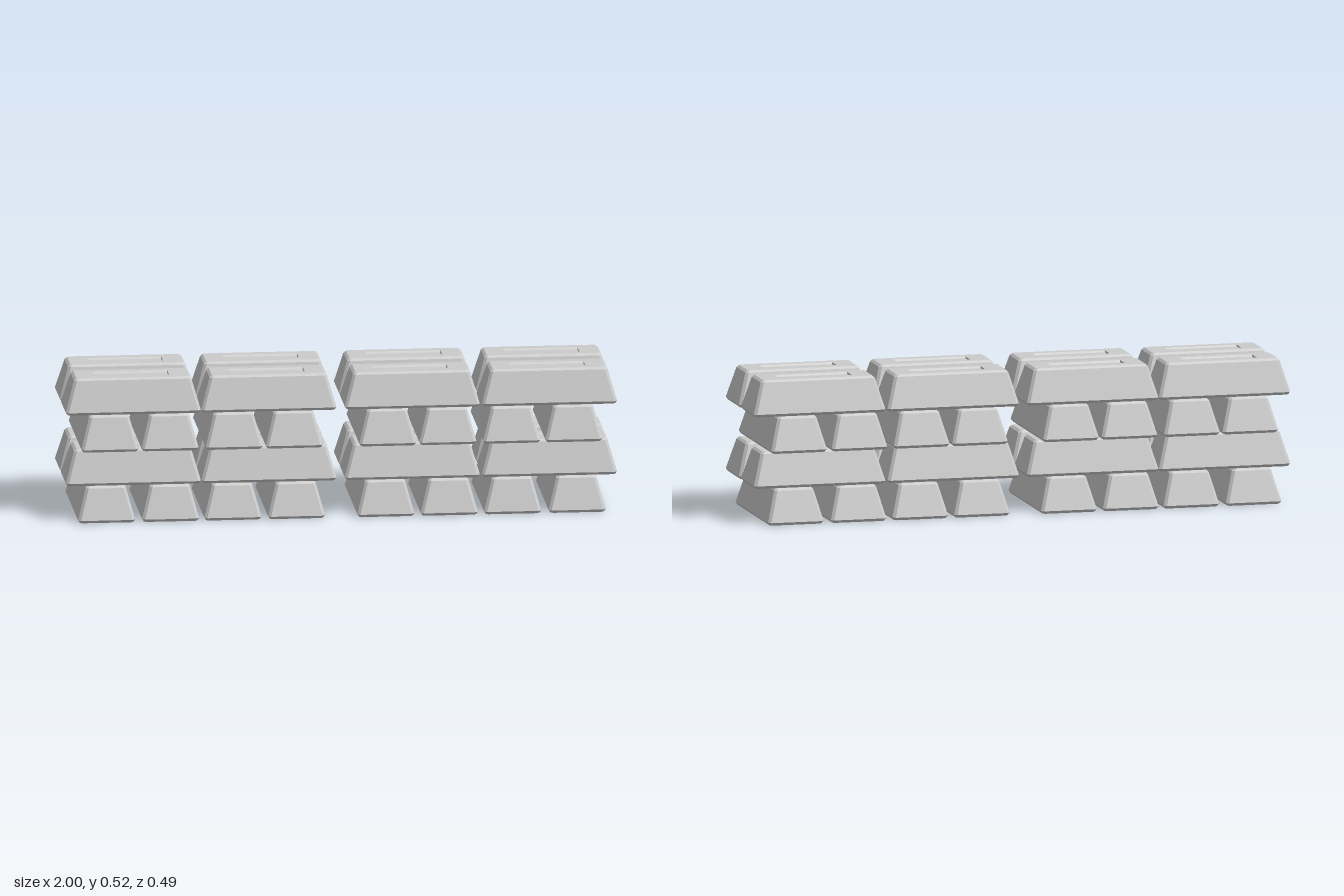
import * as THREE from 'three';

// Cross-sections of one ingot, bottom to top: [y, half length, half width, corner cut]
const SECTIONS = [
  [0, 0.238, 0.0965, 0.008],
  [0.01, 0.245, 0.1035, 0.010],
  [0.122, 0.213, 0.073, 0.010],
  [0.13, 0.204, 0.065, 0.007],
  [0.13, 0.135, 0.034, 0], // rim of the recess
  [0.123, 0.134, 0.028, 0], // floor of the recess
];

// Rectangle with cut corners, counter-clockwise seen from above
function ring([y, a, b, c]) {
  return [
    [a, b - c], [a, c - b], [a - c, -b], [c - a, -b],
    [-a, c - b], [-a, b - c], [c - a, b], [a - c, b],
  ].map(([x, z]) => new THREE.Vector3(x, y, z));
}

function ingotGeometry() {
  const points = [];
  const tri = (a, b, c) => {
    const area = b.clone().sub(a).cross(c.clone().sub(a)).length();
    if (area > 1e-9) points.push(a, b, c);
  };
  const rings = SECTIONS.map(ring);
  for (let s = 0; s < rings.length - 1; s++) {
    const lo = rings[s], hi = rings[s + 1];
    for (let i = 0; i < 8; i++) {
      const j = (i + 1) % 8;
      tri(lo[i], lo[j], hi[j]);
      tri(lo[i], hi[j], hi[i]);
    }
  }
  // Underside and recess floor
  const base = rings[0], floor = rings[rings.length - 1];
  for (let i = 1; i < 7; i++) {
    tri(base[0], base[i + 1], base[i]);
    tri(floor[0], floor[i], floor[i + 1]);
  }
  const geometry = new THREE.BufferGeometry().setFromPoints(points);
  geometry.computeVertexNormals();
  return geometry;
}

// Each stack alternates layers of crosswise and lengthwise ingots
const STACKS = [
  {
    name: 'rightStack',
    crosswise: [[-0.855, -0.623, -0.397, -0.166], [-0.843, -0.625, -0.392, -0.174]],
    lengthwise: [-0.755, -0.263],
  },
  {
    name: 'leftStack',
    crosswise: [[0.158, 0.388, 0.618, 0.852], [0.165, 0.383, 0.615, 0.84]],
    lengthwise: [0.257, 0.755],
  },
];
const LAYER_STEP = 0.131;
const ROW_Z = 0.11;

export function createModel() {
  const model = new THREE.Group();
  model.name = 'ingotStacks';
  const geometry = ingotGeometry();
  const material = new THREE.MeshStandardMaterial({ color: 0xcccccc, flatShading: true });

  const addIngot = (parent, name, x, y, z, turn) => {
    const ingot = new THREE.Mesh(geometry, material);
    ingot.name = name;
    ingot.position.set(x, y, z);
    ingot.rotation.y = turn;
    parent.add(ingot);
  };

  for (const { name, crosswise, lengthwise } of STACKS) {
    const stack = new THREE.Group();
    stack.name = name;
    for (let layer = 0; layer < 4; layer++) {
      const y = layer * LAYER_STEP;
      if (layer % 2 === 0) {
        for (const x of crosswise[layer / 2]) addIngot(stack, 'crosswiseIngot', x, y, 0, Math.PI / 2);
      } else {
        for (const x of lengthwise)
          for (const z of [-ROW_Z, ROW_Z]) addIngot(stack, 'lengthwiseIngot', x, y, z, 0);
      }
    }
    model.add(stack);
  }
  return model;
}
